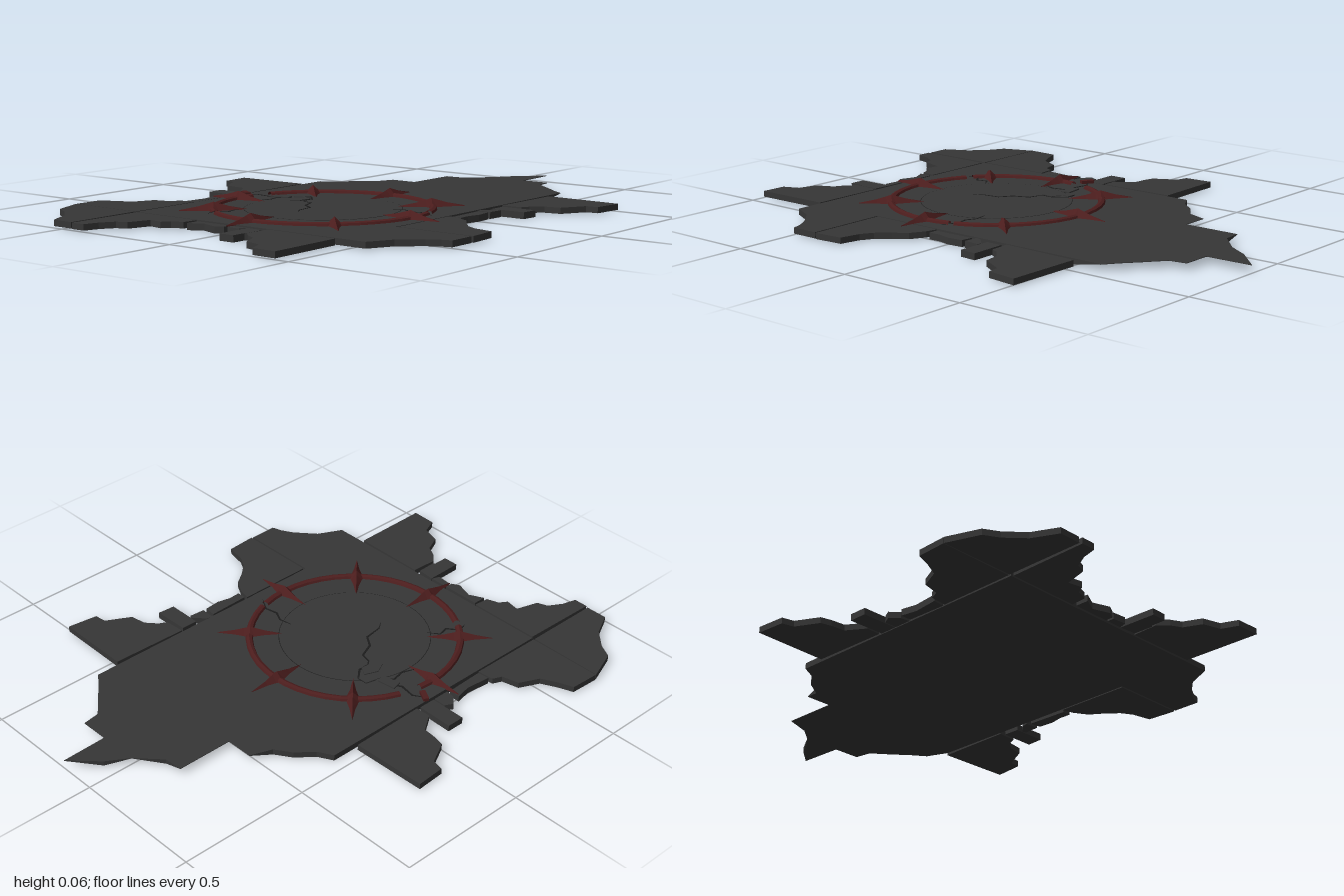
import * as THREE from 'three';

const TOP = 0.026, BOTTOM = 0.004;
const CX = -0.225; // centre of the emblem ring on x

const stone = new THREE.MeshStandardMaterial({ name: 'dark stone', color: 0x363636, flatShading: true });
const iron = new THREE.MeshStandardMaterial({ name: 'dark red iron', color: 0x4c1d1d, flatShading: true, side: THREE.DoubleSide });
const crackDark = new THREE.MeshStandardMaterial({ name: 'crack shadow', color: 0x1c1c1c, side: THREE.DoubleSide });

// Upright slab from an outline given as [x, z] pairs
function slabGeometry(points, top = TOP, bottom = BOTTOM) {
  const shape = new THREE.Shape(points.map(([x, z]) => new THREE.Vector2(x, z)));
  const g = new THREE.ExtrudeGeometry(shape, { depth: top - bottom, bevelEnabled: false });
  return g.rotateX(Math.PI / 2).translate(0, top, 0);
}

// Flat jagged ribbon along a path, widest in its middle
function crackGeometry(path, width, y) {
  const a = [], b = [];
  path.forEach(([x, z], i) => {
    const p = path[Math.max(i - 1, 0)], n = path[Math.min(i + 1, path.length - 1)];
    const dx = n[0] - p[0], dz = n[1] - p[1], l = Math.hypot(dx, dz);
    const w = width * (0.25 + Math.sin(Math.PI * i / (path.length - 1))) / 2;
    a.push([x - dz / l * w, z + dx / l * w]);
    b.unshift([x + dz / l * w, z - dx / l * w]);
  });
  return slabGeometry([...a, ...b], y, y - 0.001);
}

// Four-sided spike lofted along x: [radius, half width, height]
function spikeGeometry() {
  const sections = [[0.265, 0.001, 0.002], [0.33, 0.012, 0.014], [0.365, 0.022, 0.024], [0.385, 0.033, 0.03],
    [0.405, 0.022, 0.024], [0.44, 0.012, 0.014], [0.505, 0.001, 0.002]];
  const pos = [], index = [];
  sections.forEach(([r, w, h]) => pos.push(r, TOP - 0.002, w, r, TOP + h, 0, r, TOP - 0.002, -w));
  for (let i = 0; i < sections.length - 1; i++) {
    for (let k = 0; k < 3; k++) {
      const p = i * 3 + k, q = i * 3 + (k + 1) % 3;
      index.push(p, p + 3, q, q, p + 3, q + 3);
    }
  }
  const g = new THREE.BufferGeometry();
  g.setAttribute('position', new THREE.Float32BufferAttribute(pos, 3));
  g.setIndex(index);
  g.computeVertexNormals();
  return g;
}

export function createModel() {
  const model = new THREE.Group();
  model.name = 'brokenFloor';
  const add = (name, geometry, material) => {
    const mesh = new THREE.Mesh(geometry, material);
    mesh.name = name;
    model.add(mesh);
    return mesh;
  };

  // Main slab; its pointed end thins out to a sheet with two hanging corners
  const main = slabGeometry([[-0.69, -0.455], [0.31, -0.455], [0.34, -0.4], [0.4, -0.35], [0.44, -0.29], [0.52, -0.26],
    [0.52, -0.155], [0.735, -0.155], [0.74, -0.085], [0.82, 0], [0.9, 0.05], [0.995, 0.145], [0.82, 0.15], [0.82, 0.26],
    [0.755, 0.27], [0.7, 0.34], [0.65, 0.4], [0.615, 0.45], [0.5, 0.45], [-0.395, 0.45], [-0.395, 0.755], [-0.5, 0.755],
    [-0.51, 0.72], [-0.535, 0.675], [-0.565, 0.64], [-0.6, 0.6], [-0.69, 0.555]]);
  const p = main.attributes.position;
  for (let i = 0; i < p.count; i++) {
    const x = p.getX(i), z = p.getZ(i);
    const hanging = Math.abs(z + 0.085) < 0.01 || Math.abs(z - 0.05) < 0.01;
    if (x > 0.51 && p.getY(i) < TOP - 0.01) p.setY(i, hanging ? 0.008 : TOP - 0.002);
  }
  main.computeVertexNormals();
  add('mainSlab', main, stone);

  // Broken tiles around the main slab
  const tiles = {
    backRightCornerTile: [[-0.69, -0.76], [-0.81, -0.715], [-0.84, -0.66], [-0.9, -0.595], [-0.99, -0.55], [-0.99, -0.465], [-0.693, -0.465]],
    backRightTile: [[-0.687, -0.76], [-0.575, -0.755], [-0.555, -0.7], [-0.525, -0.64], [-0.45, -0.605], [-0.435, -0.54],
      [-0.4, -0.525], [-0.395, -0.462], [-0.687, -0.464]],
    rightBackTile: [[-0.995, -0.455], [-0.697, -0.45], [-0.697, -0.165], [-0.755, -0.17], [-0.77, -0.215], [-0.8, -0.235],
      [-0.79, -0.29], [-0.875, -0.315], [-0.89, -0.355], [-0.94, -0.385], [-0.995, -0.4]],
    rightFrontTile: [[-0.795, 0.15], [-0.697, 0.155], [-0.7, 0.44], [-0.998, 0.445], [-0.995, 0.35], [-0.935, 0.325],
      [-0.915, 0.255], [-0.85, 0.225], [-0.83, 0.185]],
    frontTile: [[-0.388, 0.456], [-0.1, 0.456], [-0.11, 0.5], [-0.14, 0.555], [-0.19, 0.59], [-0.235, 0.63], [-0.26, 0.675],
      [-0.275, 0.75], [-0.388, 0.758]],
    frontLeftTile: [[0.22, 0.457], [0.515, 0.465], [0.51, 0.76], [0.395, 0.745], [0.39, 0.7], [0.3, 0.65], [0.29, 0.59],
      [0.255, 0.55], [0.225, 0.535]],
    backLeftTile: [[0.205, -0.757], [0.212, -0.468], [-0.08, -0.463], [-0.082, -0.52], [-0.015, -0.565], [-0.01, -0.62],
      [0, -0.66], [0.085, -0.705], [0.095, -0.75]],
  };
  for (const [name, outline] of Object.entries(tiles)) add(name, slabGeometry(outline), stone);

  // Loose rubble in the gaps
  const rubble = [
    [[-0.755, -0.155], [-0.705, -0.155], [-0.705, -0.005], [-0.735, -0.005], [-0.75, -0.035], [-0.728, -0.1]],
    [[-0.73, 0.005], [-0.705, 0.005], [-0.705, 0.07], [-0.735, 0.06]],
    [[-0.845, 0.075], [-0.705, 0.072], [-0.71, 0.14], [-0.785, 0.142], [-0.79, 0.135], [-0.845, 0.135]],
    [[-0.095, 0.465], [0.065, 0.46], [0.06, 0.505], [0, 0.51], [-0.05, 0.498], [-0.095, 0.5]],
    [[0.078, 0.45], [0.1, 0.455], [0.14, 0.495], [0.135, 0.51], [0.075, 0.505]],
    [[0.142, 0.468], [0.205, 0.468], [0.208, 0.605], [0.142, 0.6]],
    [[-0.16, -0.605], [-0.092, -0.605], [-0.095, -0.465], [-0.16, -0.465]],
    [[-0.225, -0.5], [-0.195, -0.53], [-0.165, -0.515], [-0.165, -0.465], [-0.23, -0.465]],
    [[-0.395, -0.51], [-0.3, -0.5], [-0.24, -0.512], [-0.24, -0.47], [-0.39, -0.465]],
  ];
  rubble.forEach((outline, i) => add('rubble' + (i + 1), slabGeometry(outline, TOP - 0.002, 0), stone));

  // Shallow round centre with a thin seam around it
  const disc = add('centreDisc', new THREE.CylinderGeometry(0.278, 0.278, 0.003, 48), stone);
  disc.position.set(CX, TOP, 0);
  const seam = add('centreSeam', new THREE.RingGeometry(0.278, 0.2805, 48).rotateX(-Math.PI / 2), crackDark);
  seam.position.set(CX, TOP + 0.001, 0);

  // Cracks
  const cracks = [
    [[-0.35, -0.01], [-0.32, -0.03], [-0.25, -0.04], [-0.22, -0.085], [-0.16, -0.11], [-0.15, -0.15], [-0.1, -0.19]],
    [[-0.57, -0.23], [-0.53, -0.24], [-0.5, -0.2], [-0.46, -0.21], [-0.43, -0.17]],
    [[-0.1, 0.21], [-0.09, 0.26], [-0.11, 0.3], [-0.1, 0.35], [-0.13, 0.4]],
    [[-0.15, -0.45], [-0.12, -0.4], [-0.13, -0.34], [-0.1, -0.29], [-0.11, -0.25]],
    [[-0.24, -0.3], [-0.19, -0.28], [-0.14, -0.29], [-0.1, -0.25]],
    [[-0.16, -0.19], [-0.13, -0.165], [-0.09, -0.165], [-0.05, -0.2], [-0.05, -0.24]],
  ];
  cracks.forEach((path, i) => add('crack' + (i + 1), crackGeometry(path, 0.007, TOP + 0.0025), crackDark));

  // Lifted stone chips beside the broken part of the ring
  const chips = [
    [[-0.14, -0.32], [-0.1, -0.33], [-0.09, -0.26], [-0.12, -0.25]],
    [[-0.17, -0.2], [-0.13, -0.22], [-0.08, -0.2], [-0.1, -0.165], [-0.15, -0.17]],
    [[-0.09, -0.25], [-0.05, -0.24], [-0.05, -0.2], [-0.08, -0.21]],
  ];
  chips.forEach((outline, i) => add('stoneChip' + (i + 1), slabGeometry(outline, TOP + 0.005, TOP - 0.002), stone));

  // Ring in three arcs, broken by gaps (degrees from the front)
  const profile = [[0.402, TOP - 0.002], [0.398, 0.034], [0.388, 0.038], [0.378, 0.034], [0.373, TOP - 0.002]]
    .map(([r, y]) => new THREE.Vector2(r, y));
  [[19, 160], [172, 235], [239, 376]].forEach(([from, to], i) => {
    const arc = new THREE.LatheGeometry(profile, Math.round((to - from) / 8),
      THREE.MathUtils.degToRad(from), THREE.MathUtils.degToRad(to - from));
    add('ringArc' + (i + 1), arc, iron).position.x = CX;
  });
  const shard = add('ringShard', new THREE.BoxGeometry(0.02, 0.012, 0.05), iron);
  shard.position.set(-0.145, TOP + 0.006, -0.435);
  shard.rotation.y = -0.5;

  // Eight spikes across the ring
  const spike = spikeGeometry();
  for (let i = 0; i < 8; i++) {
    const mesh = add('spike' + (i + 1), spike, iron);
    mesh.position.x = CX;
    mesh.rotation.y = i * Math.PI / 4 + (i === 2 ? 0.04 : 0);
  }
  return model;
}
